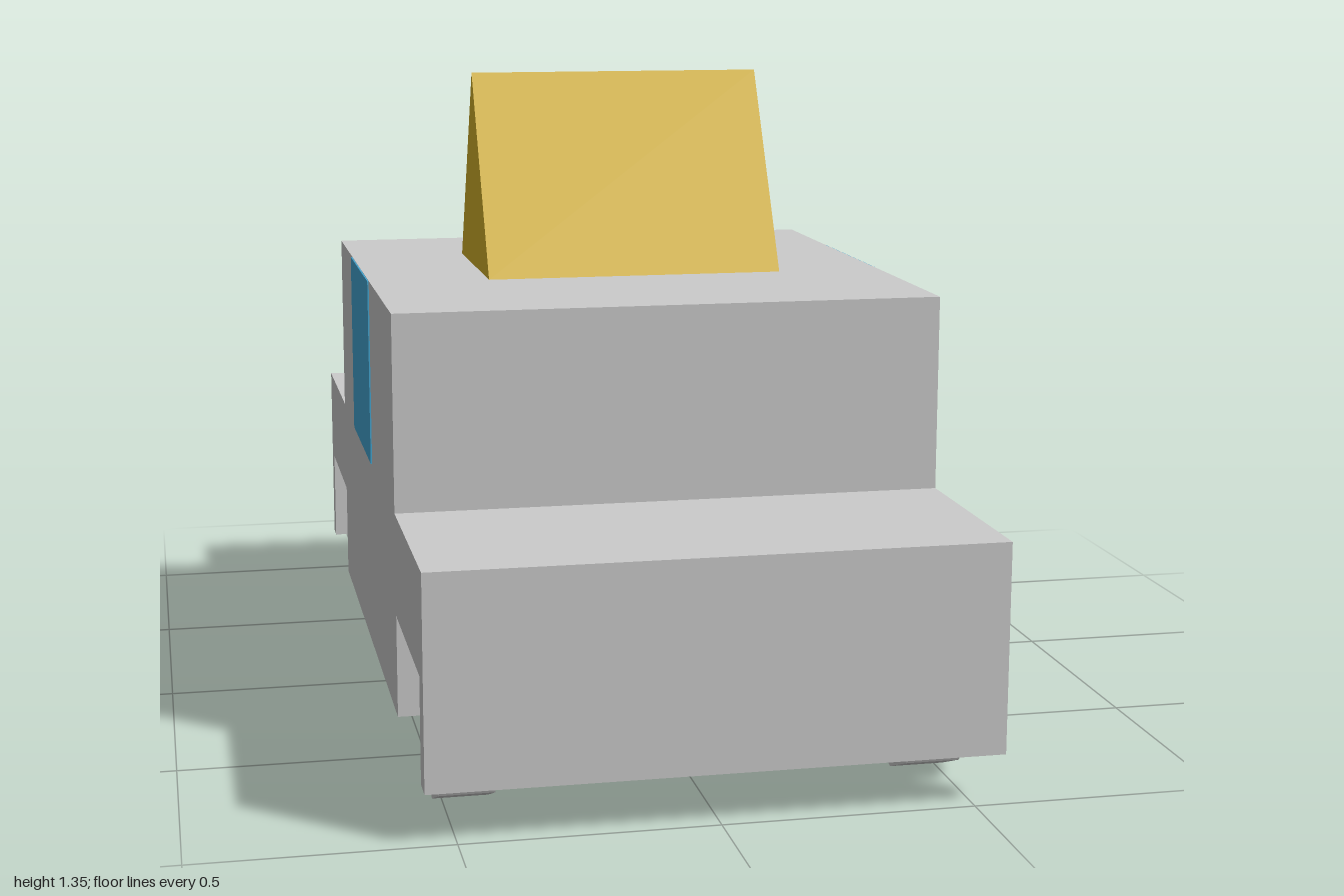
import * as THREE from 'three';

const paint = (color) => new THREE.MeshStandardMaterial({ color, flatShading: true });

// Extrudes a side profile of [z, y] points across the width, centred on x = 0.
function extrudeAcross(points, width) {
  const shape = new THREE.Shape(points.map(([z, y]) => new THREE.Vector2(-z, y)));
  const geometry = new THREE.ExtrudeGeometry(shape, { depth: width, bevelEnabled: false });
  geometry.translate(0, 0, -width / 2);
  geometry.rotateY(Math.PI / 2);
  return geometry;
}

export function createModel() {
  const model = new THREE.Group();
  model.name = 'car';
  const grey = paint(0xcccccc);
  const yellow = paint(0xd4b22a);
  const blue = paint(0x45a8d4);

  const add = (name, geometry, material, x = 0, y = 0, z = 0) => {
    const mesh = new THREE.Mesh(geometry, material);
    mesh.name = name;
    mesh.position.set(x, y, z);
    model.add(mesh);
    return mesh;
  };

  // Body: bonnet, cabin and boot, with wheel wells running right across
  add('body', extrudeAcross([
    [1, 0.1], [1, 0.52], [0.55, 0.52], [0.55, 0.92],
    [-0.585, 0.92], [-0.585, 0.52], [-1, 0.52], [-1, 0.1],
    [-0.95, 0.1], [-0.95, 0.31], [-0.585, 0.31], [-0.585, 0.1],
    [0.55, 0.1], [0.55, 0.31], [0.945, 0.31], [0.945, 0.1],
  ], 1.12), grey);

  // Roof sign: a triangular prism just above the cabin
  add('roofSign', extrudeAcross([[0.2, 0.93], [-0.035, 1.35], [-0.225, 0.93]], 0.632), yellow);

  // Octagonal wheels, corner down
  const wheel = new THREE.CylinderGeometry(0.14, 0.14, 0.11, 8);
  wheel.rotateZ(Math.PI / 2);
  // Side windows, standing slightly proud of the cabin
  const pane = new THREE.BoxGeometry(0.01, 0.398, 0.395);

  for (const [side, sign] of [['left', 1], ['right', -1]]) {
    add(side + 'FrontWheel', wheel, grey, sign * 0.463, 0.14, 0.755);
    add(side + 'RearWheel', wheel, grey, sign * 0.463, 0.14, -0.757);
    add(side + 'Window', pane, blue, sign * 0.558, 0.72, -0.1);
  }
  return model;
}
